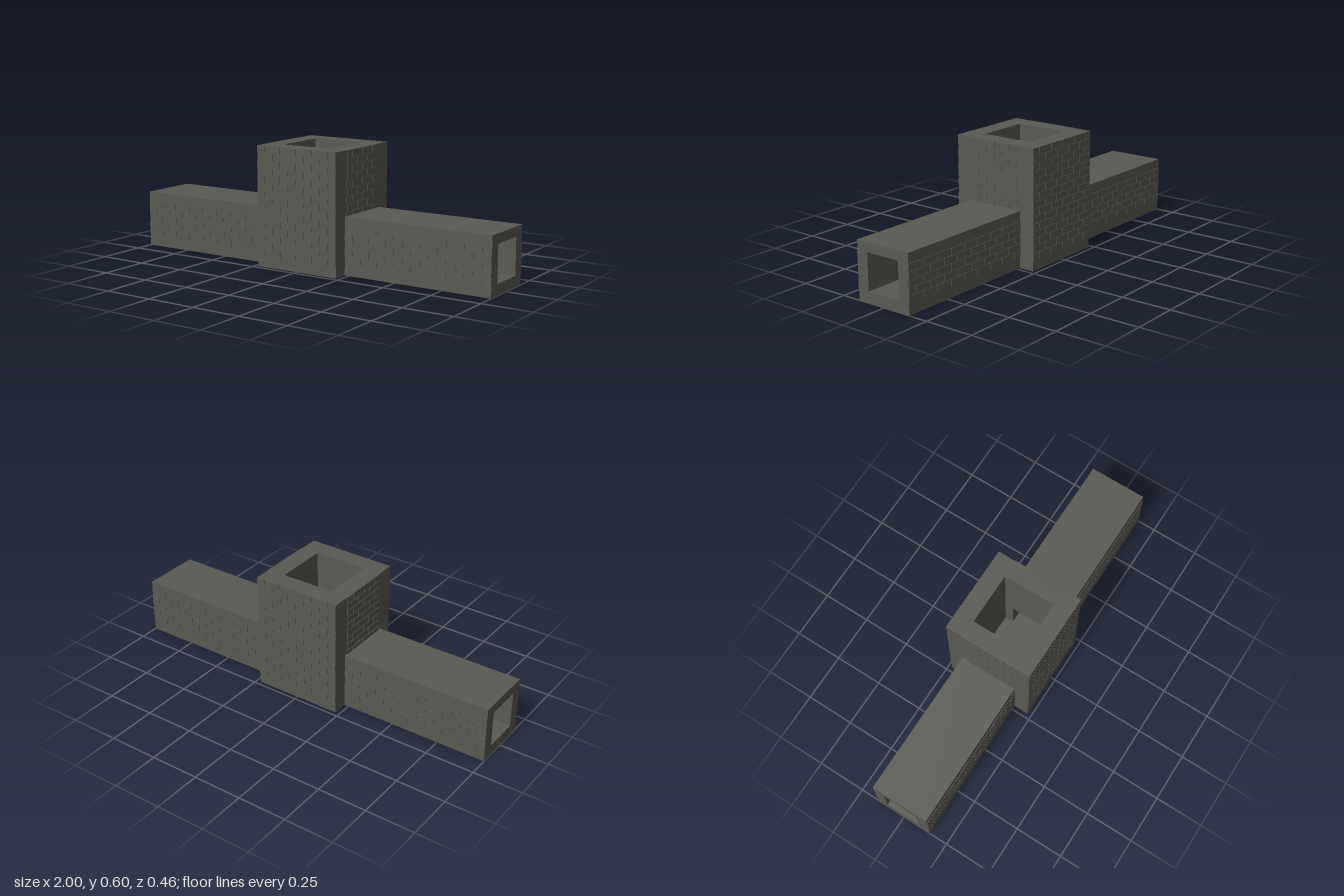
import * as THREE from 'three';
import { mergeGeometries } from 'three/addons/utils/BufferGeometryUtils.js';

const TOWER = 0.228, SHAFT = 0.136, HEIGHT = 0.6;
const ARM_Z = 0.151, ARM_TOP = 0.286;
const BORE_Z = 0.092, FLOOR = 0.055, BORE_TOP = 0.238;
const BRICK = 0.091, PITCH = 0.0366, GAP = 0.0045, RELIEF = 0.003;

export function createModel() {
  const model = new THREE.Group();
  const stone = new THREE.MeshStandardMaterial({ color: 0x5a5a54 });
  stone.name = 'grey stone';

  function add(name, geometry) {
    const mesh = new THREE.Mesh(geometry, stone);
    mesh.name = name;
    model.add(mesh);
    return mesh;
  }

  function box(name, x0, x1, y0, y1, z0, z1) {
    const g = new THREE.BoxGeometry(x1 - x0, y1 - y0, z1 - z0);
    g.translate((x0 + x1) / 2, (y0 + y1) / 2, (z0 + z1) / 2);
    return add(name, g);
  }

  // Wall section with the square bore cut out, extruded along x
  function boredBlock(name, x0, x1, halfZ, y0, y1) {
    const shape = new THREE.Shape();
    shape.moveTo(-halfZ, y0).lineTo(halfZ, y0).lineTo(halfZ, y1).lineTo(-halfZ, y1).closePath();
    const bore = new THREE.Path();
    bore.moveTo(-BORE_Z, FLOOR).lineTo(-BORE_Z, BORE_TOP).lineTo(BORE_Z, BORE_TOP).lineTo(BORE_Z, FLOOR).closePath();
    shape.holes.push(bore);
    const g = new THREE.ExtrudeGeometry(shape, { depth: x1 - x0, bevelEnabled: false });
    g.rotateY(Math.PI / 2).translate(x0, 0, 0);
    return add(name, g);
  }

  // Running-bond bricks in the xy plane, standing out towards +z
  function brickPanel(u0, u1, top, rows, origin, bottom = 0) {
    const bricks = [];
    for (let r = 0; r < rows; r++) {
      const y1 = top - r * PITCH;
      const y0 = Math.max(y1 - PITCH + GAP, bottom);
      const first = origin + (r % 2 ? BRICK / 2 : 0);
      const start = first + Math.floor((u0 - first) / BRICK) * BRICK;
      for (let u = start; u < u1; u += BRICK) {
        const a = Math.max(u + GAP / 2, u0), b = Math.min(u + BRICK - GAP / 2, u1);
        if (b - a < 0.006) continue;
        const g = new THREE.BoxGeometry(b - a, y1 - y0, RELIEF);
        bricks.push(g.translate((a + b) / 2, (y0 + y1) / 2, RELIEF / 2));
      }
    }
    return mergeGeometries(bricks);
  }

  // Tower: floor, front and back walls, pierced side walls
  box('towerFloor', -SHAFT, SHAFT, 0, FLOOR, -SHAFT, SHAFT);
  box('frontWall', -TOWER, TOWER, 0, HEIGHT, SHAFT, TOWER);
  box('backWall', -TOWER, TOWER, 0, HEIGHT, -TOWER, -SHAFT);
  boredBlock('leftWall', SHAFT, TOWER, SHAFT, 0, HEIGHT);
  boredBlock('rightWall', -TOWER, -SHAFT, SHAFT, 0, HEIGHT);

  // Hollow arms
  boredBlock('leftArm', TOWER, 1, ARM_Z, 0, ARM_TOP);
  boredBlock('rightArm', -1, -TOWER, ARM_Z, 0, ARM_TOP);

  // Bricks on the front and back
  for (const [side, turn] of [['front', 0], ['back', Math.PI]]) {
    const tower = brickPanel(-TOWER, TOWER, HEIGHT, 15, 0);
    add(side + 'TowerBricks', tower.translate(0, 0, TOWER).rotateY(turn));
    for (const [arm, x0, x1] of [['Left', TOWER, 1], ['Right', -1, -TOWER]]) {
      const g = brickPanel(x0, x1, 0.236, 5, x0);
      add(side + arm + 'ArmBricks', g.translate(0, 0, ARM_Z).rotateY(turn));
    }
  }

  // Narrower brick panels on the tower sides, above the arms
  for (const [side, turn] of [['left', Math.PI / 2], ['right', -Math.PI / 2]]) {
    const g = brickPanel(-0.1365, 0.1365, HEIGHT, 9, 0, ARM_TOP);
    add(side + 'TowerBricks', g.translate(0, 0, TOWER).rotateY(turn));
  }

  return model;
}
